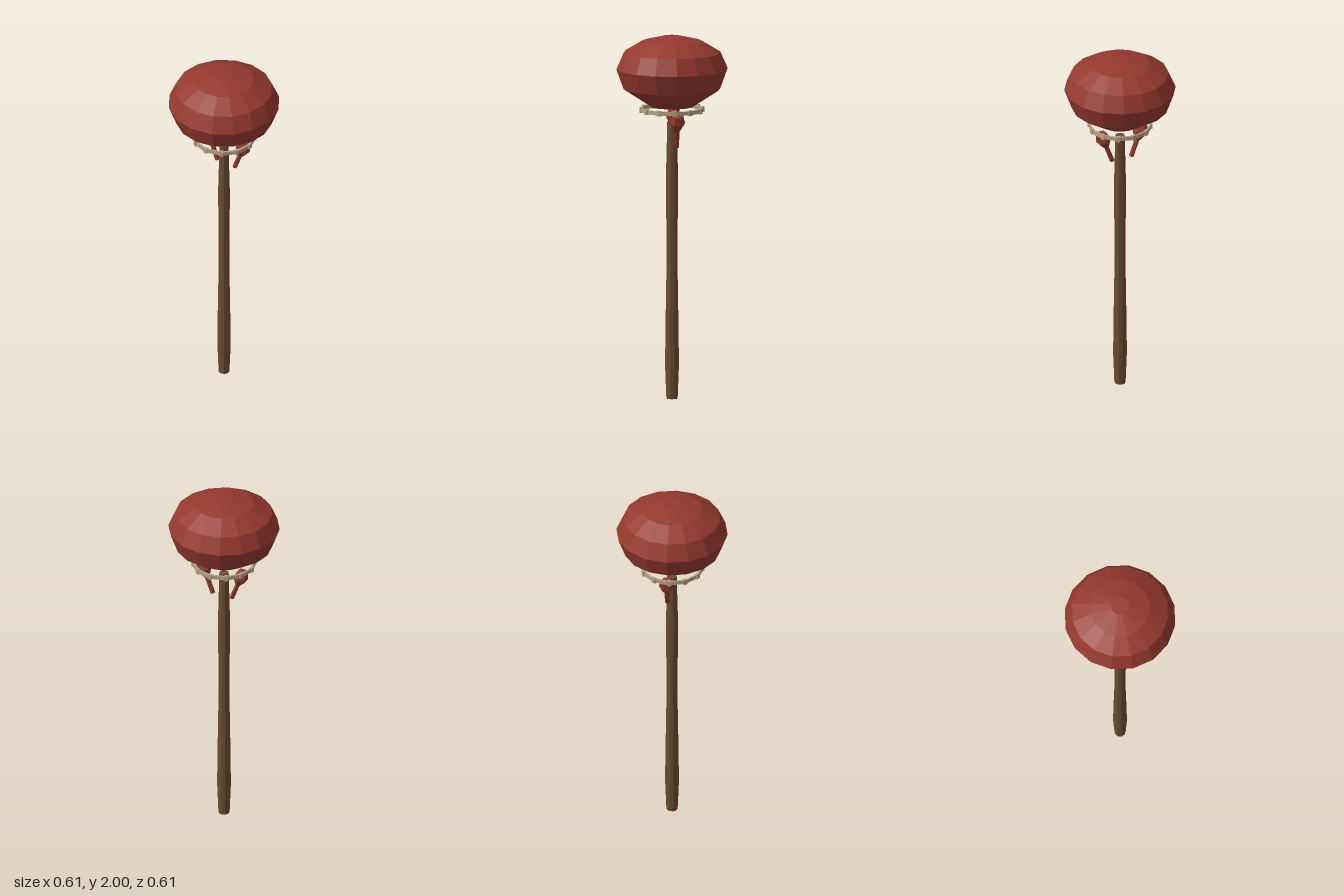
import * as THREE from 'three';

const mat = (color) => new THREE.MeshStandardMaterial({ color, flatShading: true });
const red = mat(0x96392f);
const wood = mat(0x6b4c30);
const bone = mat(0xb5a585);

// Faceted turned part from [radius, y] pairs, listed bottom to top
function turned(name, profile, sides, material) {
  const points = profile.map(([r, y]) => new THREE.Vector2(r, y));
  const mesh = new THREE.Mesh(new THREE.LatheGeometry(points, sides), material);
  mesh.name = name;
  return mesh;
}

export function createModel() {
  const model = new THREE.Group();
  model.name = 'longHandledRattle';

  // Handle: slightly uneven wooden pole
  model.add(turned('handle', [
    [0, 0], [0.031, 0], [0.038, 0.18], [0.036, 0.38], [0.03, 0.75],
    [0.031, 0.95], [0.034, 1.2], [0.029, 1.4], [0.026, 1.53], [0, 1.53],
  ], 10, wood));

  // Head: rounded body with a shallow cap
  model.add(turned('headBody', [
    [0, 1.61], [0.115, 1.612], [0.265, 1.71], [0.305, 1.82], [0.265, 1.912],
  ], 16, red));
  model.add(turned('headCap', [
    [0.265, 1.912], [0.165, 1.972], [0.05, 2], [0, 2],
  ], 16, red));

  // Collar: twelve flat bars joined by small knuckles
  const collar = new THREE.Group();
  collar.name = 'collar';
  const sides = 12, radius = 0.17;
  const bar = new THREE.BoxGeometry(2 * radius * Math.sin(Math.PI / sides), 0.022, 0.011);
  const knuckle = new THREE.BoxGeometry(0.022, 0.03, 0.016);
  for (let i = 0; i < sides; i++) {
    const addPart = (name, geometry, angle, r) => {
      const part = new THREE.Mesh(geometry, bone);
      part.name = name;
      part.position.set(r * Math.sin(angle), 1.595, r * Math.cos(angle));
      part.rotation.y = angle;
      collar.add(part);
    };
    const step = (2 * Math.PI) / sides;
    addPart('collarBar', bar, (i + 0.5) * step, radius * Math.cos(Math.PI / sides));
    addPart('collarKnuckle', knuckle, i * step, radius);
  }
  model.add(collar);

  // Pair of small hanging buds, stems leaning in towards the handle
  for (const side of [-1, 1]) {
    const bud = new THREE.Group();
    bud.name = side > 0 ? 'leftBud' : 'rightBud';
    bud.add(turned('budStem', [[0, 0], [0.013, 0], [0.013, 0.12], [0, 0.12]], 6, red));
    bud.add(turned('budBulb', [
      [0, 0.1], [0.015, 0.1], [0.042, 0.15], [0.03, 0.195], [0, 0.2],
    ], 6, red));
    bud.position.set(side * 0.058, 1.395, -0.02);
    bud.rotation.z = -side * 0.36;
    model.add(bud);
  }

  return model;
}
